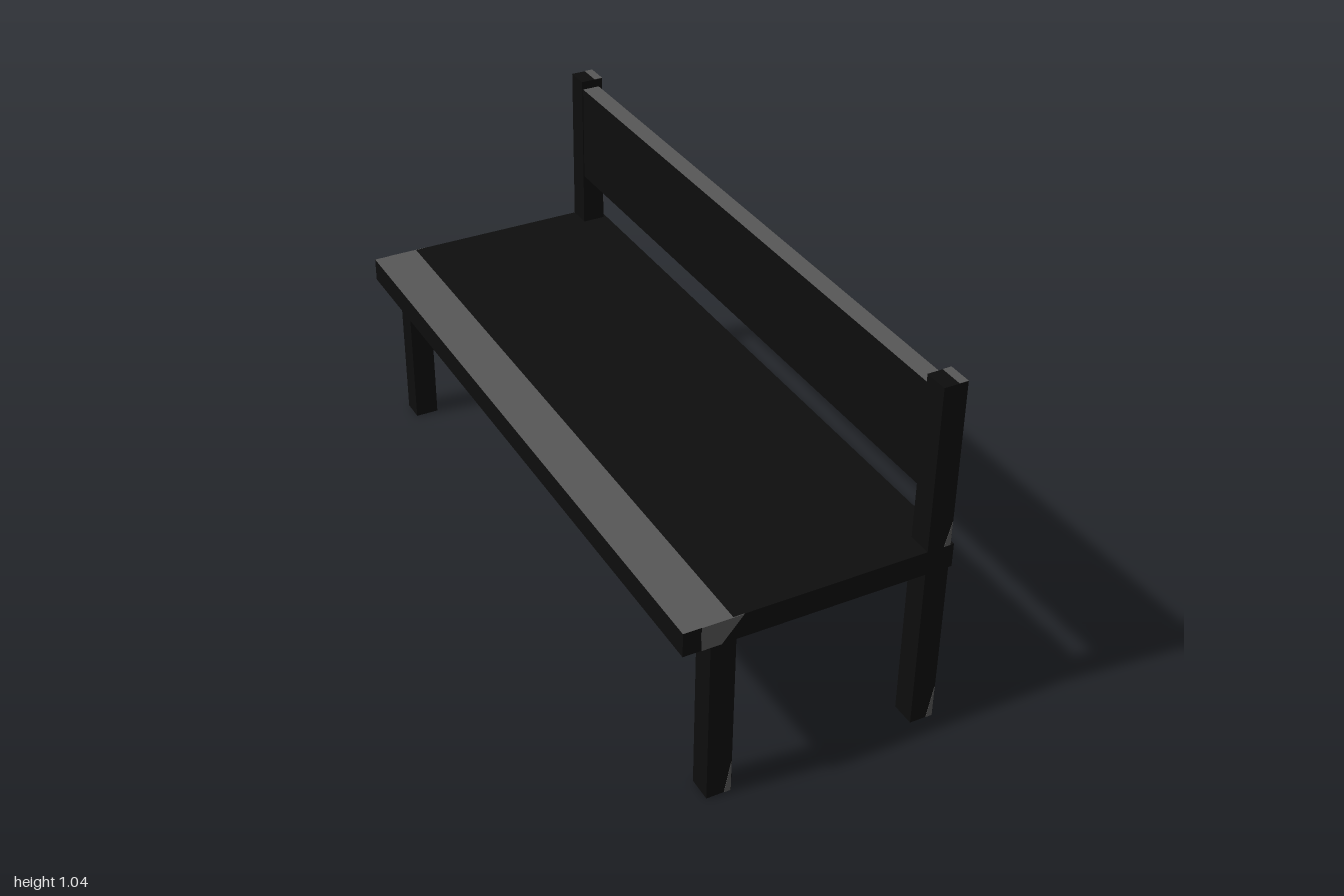
import * as THREE from 'three';

export function createModel() {
  const bench = new THREE.Group();
  bench.name = 'bench';

  const dark = new THREE.MeshStandardMaterial({ color: 0x0d0d0d });
  dark.name = 'charcoal';
  const grey = new THREE.MeshStandardMaterial({ color: 0x575757 });
  grey.name = 'grey';
  // Box faces in order: +x, -x, +y, -y, +z, -z
  const greyTopAndBottom = [dark, dark, grey, grey, dark, dark];

  // Box given by its lower and upper bounds on each axis
  function box(name, [x0, x1], [y0, y1], [z0, z1], material = dark) {
    const mesh = new THREE.Mesh(new THREE.BoxGeometry(x1 - x0, y1 - y0, z1 - z0), material);
    mesh.position.set((x0 + x1) / 2, (y0 + y1) / 2, (z0 + z1) / 2);
    mesh.name = name;
    bench.add(mesh);
  }

  // Thin grey plate drawn in the (u, y) plane
  function patch(name, points) {
    const shape = new THREE.Shape(points.map(([u, y]) => new THREE.Vector2(u, y)));
    const geometry = new THREE.ExtrudeGeometry(shape, { depth: 0.002, bevelEnabled: false });
    const mesh = new THREE.Mesh(geometry, grey);
    mesh.name = name;
    bench.add(mesh);
    return mesh;
  }

  // Seat with a lighter front edge
  const seatY = [0.49, 0.56];
  box('seat', [-0.245, 0.38], seatY, [-1, 1]);
  box('seatFrontEdge', [-0.38, -0.245], seatY, [-1, 1], greyTopAndBottom);

  // Back board between the posts
  box('backrest', [0.305, 0.358], [0.72, 1.015], [-0.93, 0.93], greyTopAndBottom);

  for (const side of [1, -1]) {
    const span = side > 0 ? [0.93, 1] : [-1, -0.93];
    box('frontLeg', [-0.305, -0.235], [0, 0.49], span);
    box('backLeg', [0.302, 0.37], [0, 0.49], span);
    box('backPost', [0.302, 0.37], [0.56, 1.04], span);
    box('postCapWear', [0.345, 0.37], [1.039, 1.041], span, grey);

    // Worn patches on the end faces
    const endPatches = [
      ['seatEndWear', [[-0.33, 0.49], [-0.275, 0.49], [-0.215, 0.56], [-0.33, 0.56]]],
      ['frontLegWear', [[-0.255, 0], [-0.236, 0], [-0.236, 0.1]]],
      ['backLegWear', [[0.35, 0], [0.369, 0], [0.369, 0.1]]],
      ['backPostWear', [[0.35, 0.56], [0.369, 0.56], [0.369, 0.63]]],
    ];
    for (const [name, points] of endPatches) {
      patch(name, points).position.z = side > 0 ? 0.999 : -1.001;
    }

    // Worn patches on the inner corners of the rear faces
    for (const [y, height] of [[0, 0.1], [0.56, 0.07]]) {
      const wear = patch('rearLegWear', [[-0.96 * side, y], [-0.931 * side, y], [-0.931 * side, y + height]]);
      wear.rotation.y = Math.PI / 2;
      wear.position.x = 0.369;
    }
  }
  return bench;
}
